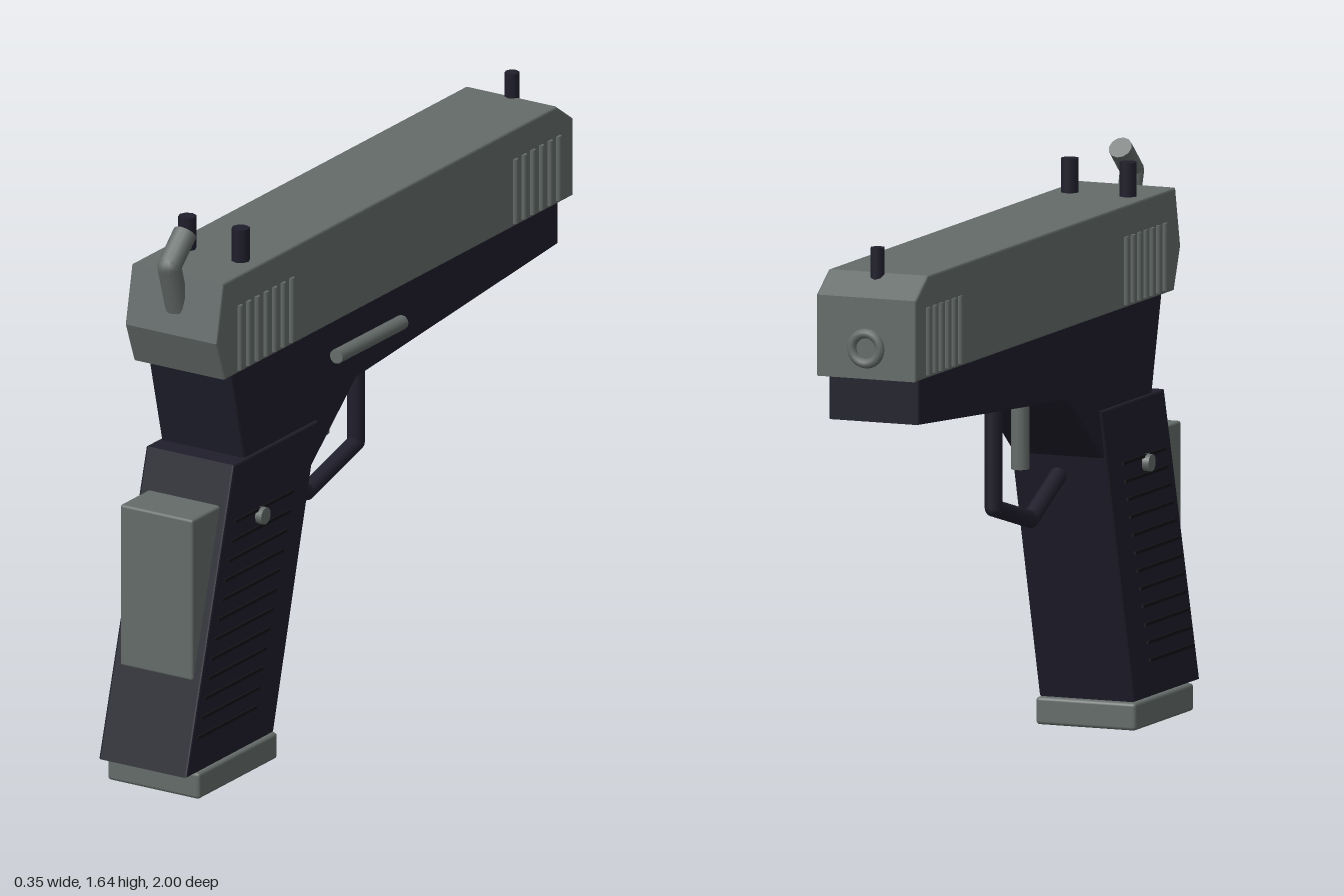
import * as THREE from 'three';
import { RoundedBoxGeometry } from 'three/addons/geometries/RoundedBoxGeometry.js';

const CX = -0.013; // centre plane of the body

export function createModel() {
  const steel = new THREE.MeshStandardMaterial({ name: 'steel grey', color: 0x646b69 });
  const polymer = new THREE.MeshStandardMaterial({ name: 'dark navy polymer', color: 0x1f1e2b });
  const black = new THREE.MeshStandardMaterial({ name: 'black', color: 0x121217 });

  const model = new THREE.Group();
  model.name = 'pistol';

  const add = (name, geometry, material, parent = model) => {
    const mesh = new THREE.Mesh(geometry, material);
    mesh.name = name;
    parent.add(mesh);
    return mesh;
  };
  const group = (name) => {
    const g = new THREE.Group();
    g.name = name;
    model.add(g);
    return g;
  };

  // Side profile of [z, y] points, extruded across x with a small bevel
  const slab = (name, points, width, material) => {
    const b = 0.006;
    const shape = new THREE.Shape(points.map(([z, y]) => new THREE.Vector2(z, y)));
    const geometry = new THREE.ExtrudeGeometry(shape, {
      depth: width - 2 * b, bevelEnabled: true, bevelSize: b,
      bevelThickness: b, bevelOffset: -b, bevelSegments: 2,
    });
    geometry.translate(0, 0, -(width - 2 * b) / 2);
    geometry.rotateY(-Math.PI / 2);
    return add(name, geometry, material).translateX(CX);
  };

  // Round rod between two points
  const rod = (name, from, to, radius, material, parent = model, sides = 12) => {
    const a = new THREE.Vector3(...from), b = new THREE.Vector3(...to);
    const dir = b.clone().sub(a);
    const mesh = add(name, new THREE.CylinderGeometry(radius, radius, dir.length(), sides), material, parent);
    mesh.position.copy(a).add(b).multiplyScalar(0.5);
    mesh.quaternion.setFromUnitVectors(new THREE.Vector3(0, 1, 0), dir.normalize());
    return mesh;
  };

  // Bent bar: rods joined by spheres
  const bentBar = (name, points, radius, material) => {
    const g = group(name);
    for (let i = 0; i < points.length - 1; i++) {
      rod('segment', points[i], points[i + 1], radius, material, g);
      if (i > 0) add('elbow', new THREE.SphereGeometry(radius, 12, 8), material, g).position.set(...points[i]);
    }
  };

  // Main body
  slab('slide', [[0.82, 1.5], [0.855, 1.33], [0.81, 1.21], [-0.985, 1.21], [-0.985, 1.44], [-0.9, 1.5]], 0.305, steel);
  slab('frame', [[0.76, 1.22], [0.68, 0.9], [0.6, 0.8], [0.35, 0.8], [0.11, 1.0], [-0.93, 1.08], [-0.93, 1.22]], 0.276, polymer);
  slab('grip', [[0.755, 0.938], [1.0, 0.08], [0.55, 0.08], [0.32, 0.938]], 0.293, polymer);

  // Magazine base and backstrap
  add('magazineBase', new RoundedBoxGeometry(0.306, 0.078, 0.408, 2, 0.01), steel).position.set(CX, 0.039, 0.742);
  add('backstrap', new RoundedBoxGeometry(0.242, 0.48, 0.2, 2, 0.008), steel).position.set(CX, 0.582, 0.83);

  // Slide serrations on both flanks
  const serrations = group('slideSerrations');
  for (const side of [-1, 1]) {
    const x = CX + side * 0.153;
    for (const [start, count] of [[0.737, 7], [-0.683, 6]]) {
      for (let i = 0; i < count; i++) {
        const z = start - i * 0.0445;
        rod('serration', [x, 1.22, z], [x, 1.412, z], 0.01, steel, serrations, 8);
      }
    }
  }

  // Grip ridges, following the rake of the grip
  const ridges = group('gripRidges');
  for (const side of [-1, 1]) {
    for (let i = 0; i < 12; i++) {
      const y = 0.77 - i * 0.0532;
      const ridge = add('ridge', new THREE.BoxGeometry(0.012, 0.009, 0.3), black, ridges);
      ridge.position.set(CX + side * 0.147, y, 0.605 + i * 0.0175);
    }
  }

  // Cross pin through the grip
  rod('gripPin', [CX - 0.167, 0.75, 0.622], [CX + 0.167, 0.75, 0.622], 0.025, steel);

  // Slide release lever on the left flank
  rod('slideRelease', [0.151, 1.112, 0.255], [0.141, 1.104, -0.1], 0.021, steel);

  // Trigger and guard
  rod('trigger', [CX, 0.8, 0.085], [CX, 1.03, 0.085], 0.026, steel);
  bentBar('triggerGuard', [[CX, 0.745, 0.352], [CX, 0.647, 0.155], [CX, 0.716, -0.1], [CX, 1.04, -0.1]], 0.025, polymer);

  // Hammer
  bentBar('hammer', [[CX, 1.4, 0.82], [CX, 1.535, 0.862], [CX, 1.61, 0.78]], 0.034, steel);

  // Sights
  for (const x of [-0.103, 0.075]) rod('rearSight', [x, 1.49, 0.63], [x, 1.597, 0.63], 0.026, polymer, model, 8);
  rod('frontSight', [CX, 1.47, -0.904], [CX, 1.572, -0.904], 0.021, polymer, model, 8);

  // Muzzle ring
  add('muzzleRing', new THREE.TorusGeometry(0.043, 0.014, 10, 24), steel).position.set(CX, 1.297, -0.986);

  return model;
}
